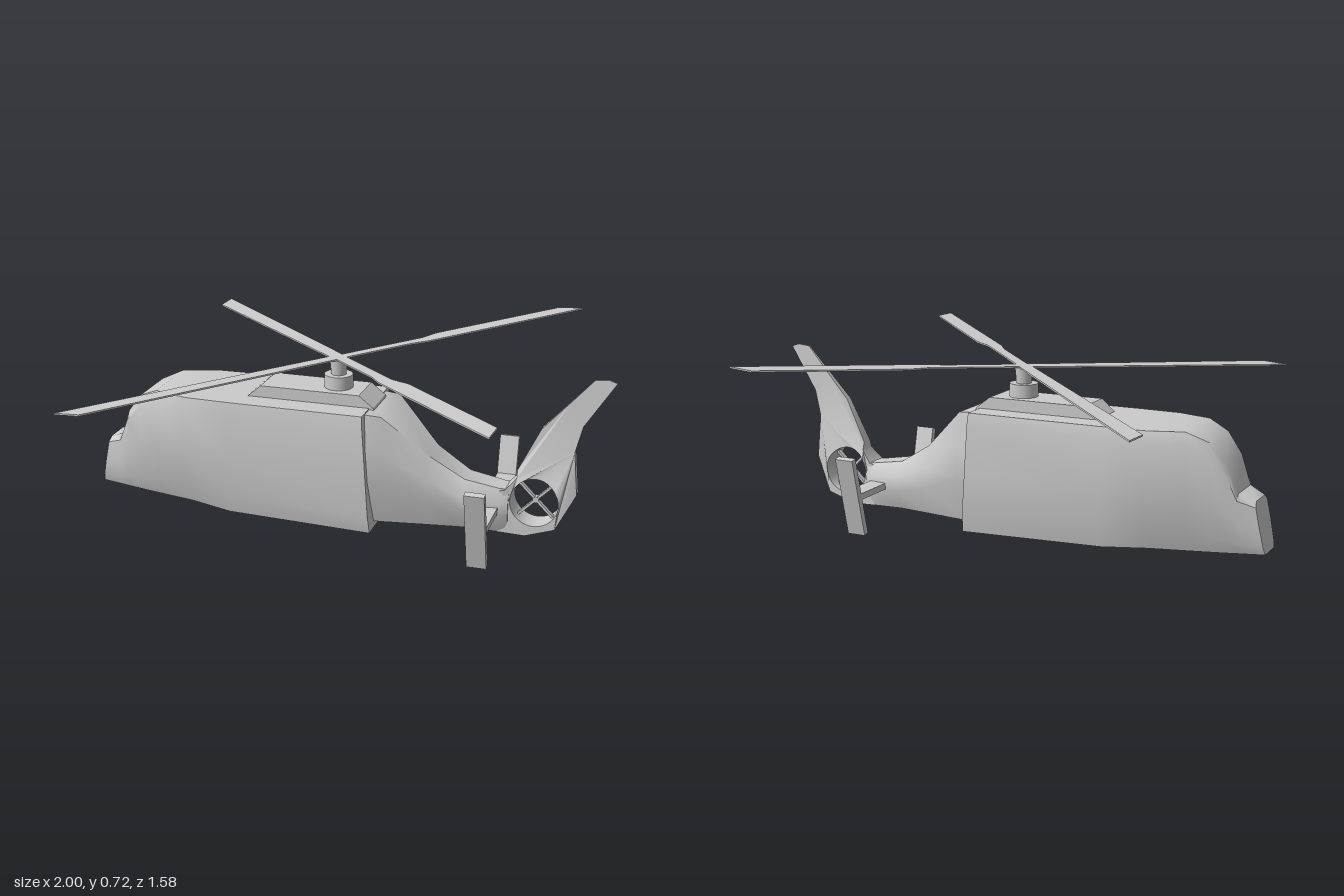
import * as THREE from 'three';
import { toCreasedNormals } from 'three/addons/utils/BufferGeometryUtils.js';

const material = new THREE.MeshStandardMaterial({ color: 0xcccccc, side: THREE.DoubleSide });

function addMesh(parent, name, geometry, x = 0, y = 0, z = 0) {
  const mesh = new THREE.Mesh(geometry, material);
  mesh.name = name;
  mesh.position.set(x, y, z);
  parent.add(mesh);
  return mesh;
}

// Skins mirrored half sections, each a list of [x, y, halfWidth] from roof to belly
function loft(sections, crease) {
  const rings = sections.map(half => [
    ...half,
    ...half.slice().reverse().map(([x, y, z]) => [x, y, -z]),
  ]);
  const n = rings[0].length, last = (rings.length - 1) * n;
  const positions = rings.flat(2), index = [];
  for (let i = 0; i < rings.length - 1; i++) {
    for (let j = 0; j < n; j++) {
      const a = i * n + j, b = i * n + (j + 1) % n;
      index.push(a, b, b + n, a, b + n, a + n);
    }
  }
  // End caps fan out from the middle of the first and last rings
  for (const ring of [rings[0], rings[rings.length - 1]]) {
    for (let k = 0; k < 3; k++) positions.push(ring.reduce((s, p) => s + p[k], 0) / n);
  }
  const centre = rings.length * n;
  for (let j = 0; j < n; j++) {
    const k = (j + 1) % n;
    index.push(centre, k, j, centre + 1, last + j, last + k);
  }
  const geometry = new THREE.BufferGeometry();
  geometry.setAttribute('position', new THREE.Float32BufferAttribute(positions, 3));
  geometry.setIndex(index);
  return toCreasedNormals(geometry, crease);
}

function polygon(points) {
  return new THREE.Shape(points.map(([x, y]) => new THREE.Vector2(x, y)));
}

function extrude(shape, depth) {
  const geometry = new THREE.ExtrudeGeometry(shape, { depth, bevelEnabled: false, curveSegments: 24 });
  return geometry.translate(0, 0, -depth / 2);
}

// Cabin: x at belly, x at roof, roof y, belly y, half widths at roof, side, lower side and belly
function cabin() {
  const rows = [
    [-1.00, -0.96, 0.27, 0.080, 0.050, 0.070, 0.065, 0.055],
    [-0.92, -0.90, 0.295, 0.078, 0.070, 0.093, 0.085, 0.070],
    [-0.87, -0.86, 0.40, 0.076, 0.085, 0.108, 0.098, 0.078],
    [-0.80, -0.80, 0.475, 0.074, 0.105, 0.127, 0.112, 0.090],
    [-0.72, -0.72, 0.51, 0.071, 0.130, 0.150, 0.125, 0.100],
    [-0.59, -0.59, 0.51, 0.067, 0.172, 0.184, 0.142, 0.118],
    [-0.42, -0.42, 0.51, 0.063, 0.178, 0.185, 0.183, 0.165],
    [0.14, 0.11, 0.51, 0.050, 0.178, 0.185, 0.185, 0.172],
  ];
  return loft(rows.map(([xb, xt, top, bottom, wTop, wSide, wLow, wBelly]) => [
    [1, wTop], [0.9, wSide], [0.5, wSide], [0.16, wLow], [0, wBelly],
  ].map(([t, w]) => [xb + (xt - xb) * t, bottom + (top - bottom) * t, w])), 0.65);
}

// Tail boom: x, roof y, belly y, half widths at roof, shoulder and belly
function tailBoom() {
  const rows = [
    [0.08, 0.508, 0.072, 0.145, 0.165, 0.11],
    [0.17, 0.50, 0.075, 0.135, 0.155, 0.11],
    [0.34, 0.34, 0.073, 0.065, 0.108, 0.08],
    [0.47, 0.26, 0.072, 0.050, 0.092, 0.06],
    [0.60, 0.238, 0.066, 0.045, 0.076, 0.048],
    [0.635, 0.235, 0.066, 0.035, 0.056, 0.04],
  ];
  return loft(rows.map(([x, top, bottom, wTop, wSide, wBelly]) => [
    [1, wTop], [0.7, wSide], [0.4, wSide], [0, wBelly],
  ].map(([t, w]) => [x, bottom + (top - bottom) * t, w])), 0.8);
}

// Fin and fan shroud in one plate, thick round the fan and thin at the tip
function tailFin() {
  const shape = polygon([
    [0.60, 0.066], [0.70, 0.063], [0.81, 0.10], [0.865, 0.20], [0.88, 0.235], [0.872, 0.32],
    [0.865, 0.40], [0.89, 0.50], [1.00, 0.67], [0.97, 0.68], [0.92, 0.675], [0.84, 0.585],
    [0.74, 0.475], [0.66, 0.31], [0.66, 0.28], [0.62, 0.235], [0.60, 0.23],
  ]);
  shape.holes.push(new THREE.Path().absarc(0.73, 0.195, 0.09, 0, Math.PI * 2, true));
  const geometry = extrude(shape, 2);
  const p = geometry.attributes.position;
  for (let i = 0; i < p.count; i++) {
    const x = p.getX(i), y = p.getY(i);
    let half = y < 0.24 ? 0.05
      : y < 0.31 ? THREE.MathUtils.mapLinear(y, 0.24, 0.31, 0.05, 0.022)
        : THREE.MathUtils.mapLinear(y, 0.31, 0.68, 0.022, 0.003);
    if (x > 0.85) half = Math.min(half, 0.02);
    p.setZ(i, p.getZ(i) * half);
  }
  return toCreasedNormals(geometry, 0.5);
}

export function createModel() {
  const model = new THREE.Group();
  model.name = 'helicopter';

  addMesh(model, 'cabin', cabin());
  addMesh(model, 'tailBoom', tailBoom());
  addMesh(model, 'tailFin', tailFin());

  // Engine housing with sloped ends
  addMesh(model, 'engineHousing', extrude(polygon([
    [-0.37, 0.50], [0.13, 0.50], [0.125, 0.512], [0.07, 0.555], [-0.315, 0.555], [-0.365, 0.512],
  ]), 0.165));

  // Tail fan: four thin blades crossing in the shroud
  const fan = new THREE.Group();
  fan.name = 'tailFan';
  fan.position.set(0.73, 0.195, 0);
  for (const angle of [Math.PI / 4, -Math.PI / 4]) {
    addMesh(fan, 'fanBlade', new THREE.BoxGeometry(0.184, 0.009, 0.02)).rotation.z = angle;
  }
  const fanHub = addMesh(fan, 'fanHub', new THREE.CylinderGeometry(0.012, 0.012, 0.026, 12));
  fanHub.rotation.x = Math.PI / 2;
  model.add(fan);

  // Stabiliser bar with a leaning plate at each end
  addMesh(model, 'stabiliserBar', new THREE.BoxGeometry(0.072, 0.025, 0.53), 0.565, 0.16, 0);
  for (const side of [1, -1]) {
    const plate = addMesh(model, 'stabiliserPlate',
      new THREE.BoxGeometry(0.074, 0.32, 0.025), 0.565, 0.16, side * 0.272);
    plate.rotation.x = side * 0.245;
  }

  // Rotor mast
  addMesh(model, 'mastBase', new THREE.CylinderGeometry(0.054, 0.054, 0.055, 24), -0.033, 0.578, 0);
  addMesh(model, 'mast', new THREE.CylinderGeometry(0.034, 0.028, 0.065, 24), -0.033, 0.634, 0);

  // Main rotor, tipped slightly forward; the two rear blades step out from a narrow root
  const rotor = new THREE.Group();
  rotor.name = 'mainRotor';
  rotor.position.set(-0.033, 0.668, 0);
  rotor.rotation.z = 0.066;
  const tip = [[1.085, -0.034], [1.02, 0.039]];
  const stepped = [[0, -0.022], [0.30, -0.022], [0.37, -0.034], ...tip, [0.45, 0.041], [0.37, 0.02], [0, 0.022]];
  const straight = [[0, -0.026], ...tip, [0, 0.026]];
  for (let i = 0; i < 4; i++) {
    const outline = i === 0 || i === 3 ? stepped : straight;
    const geometry = extrude(polygon(outline), 0.006).rotateX(-Math.PI / 2);
    addMesh(rotor, 'rotorBlade', geometry).rotation.y = Math.PI / 4 + i * Math.PI / 2;
  }
  model.add(rotor);

  return model;
}
